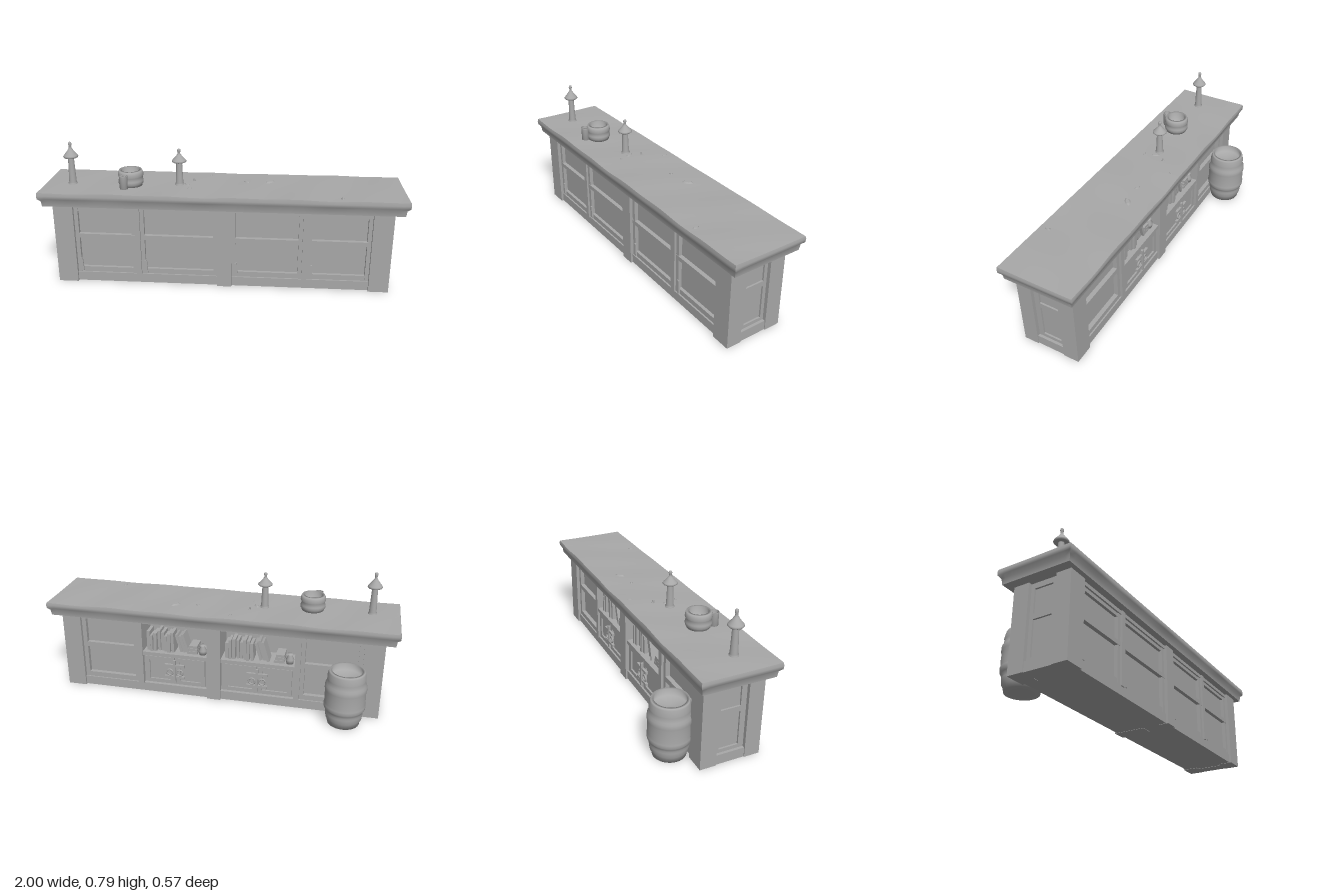
import * as THREE from 'three';

export function createModel() {
  const root = new THREE.Group();
  root.name = 'barCounter';
  const grey = new THREE.MeshStandardMaterial({ color: 0xa8a8a8, side: THREE.DoubleSide });
  grey.name = 'weatheredGrey';

  const add = (name, geo, x = 0, y = 0, z = 0, parent = root) => {
    const m = new THREE.Mesh(geo, grey);
    m.name = name;
    m.position.set(x, y, z);
    parent.add(m);
    return m;
  };
  // Box given by its limits on each axis
  const block = (name, x0, x1, y0, y1, z0, z1, parent = root) =>
    add(name, new THREE.BoxGeometry(x1 - x0, y1 - y0, z1 - z0),
      (x0 + x1) / 2, (y0 + y1) / 2, (z0 + z1) / 2, parent);
  const lathe = (name, pts, x, y, z, segs = 24, parent = root) =>
    add(name, new THREE.LatheGeometry(pts.map(p => new THREE.Vector2(p[0], p[1])), segs), x, y, z, parent);

  // Worn worktop: a subdivided box, moulded inwards towards its underside
  const slab = new THREE.BoxGeometry(2, 4, 0.436, 48, 4, 10);
  const levels = [0.465, 0.497, 0.512, 0.53, 0.546];
  const insets = [0.021, 0.017, 0.002, 0, 0.003];
  const p = slab.attributes.position;
  for (let i = 0; i < p.count; i++) {
    const k = Math.round(p.getY(i) + 2);
    const x = p.getX(i), z = p.getZ(i);
    const wear = Math.sin(x * 13) * Math.sin(x * 5 + z * 9);
    const edgeX = Math.abs(x) > 0.999, edgeZ = Math.abs(z) > 0.217;
    p.setXYZ(i,
      edgeX ? x - Math.sign(x) * insets[k] : x * (1 - insets[k]),
      levels[k] + (k === 4 ? 0.003 * wear + z * 0.008 : 0),
      0.063 + z - (edgeZ ? Math.sign(z) * (insets[k] + (k > 1 ? 0.002 * (1 + wear) : 0)) : 0));
  }
  slab.computeVertexNormals();
  add('worktop', slab);

  // Solid core, leaving the two middle bays open at the back
  block('plinth', -0.9, 0.9, 0.002, 0.055, -0.088, 0.222);
  block('core', -0.9, 0.9, 0.05, 0.466, 0.07, 0.195);
  block('leftCore', 0.475, 0.9, 0.05, 0.466, -0.055, 0.08);
  block('rightCore', -0.9, -0.475, 0.05, 0.466, -0.055, 0.08);
  block('frontTopRail', -0.9, 0.9, 0.445, 0.467, 0.19, 0.222);
  block('backTopRail', -0.9, 0.9, 0.44, 0.467, -0.088, 0.08);

  // Corner posts and framed end panels
  for (const s of [-1, 1]) {
    const span = (a, b) => (s > 0 ? [a, b] : [-b, -a]);
    const side = s > 0 ? 'left' : 'right';
    block(side + 'FrontPost', ...span(0.82, 0.93), 0, 0.467, 0.15, 0.235);
    block(side + 'BackPost', ...span(0.82, 0.93), 0, 0.467, -0.1, -0.01);
    block(side + 'EndSill', ...span(0.85, 0.925), 0, 0.055, -0.02, 0.16);
    for (const [y0, y1] of [[0.055, 0.075], [0.27, 0.3], [0.435, 0.467]])
      block(side + 'EndRail', ...span(0.88, 0.91), y0, y1, -0.01, 0.15);
    for (const [z0, z1] of [[-0.01, 0.01], [0.12, 0.15]])
      block(side + 'EndStile', ...span(0.88, 0.91), 0.055, 0.467, z0, z1);
  }
  block('frontCentrePost', -0.022, 0.058, 0, 0.467, 0.18, 0.235);
  block('backCentrePost', -0.022, 0.058, 0, 0.467, -0.1, 0.08);
  for (const x of [-0.465, 0.462]) {
    block('frontDivider', x - 0.014, x + 0.014, 0.05, 0.467, 0.18, 0.228);
    block('backDivider', x - 0.016, x + 0.016, 0.05, 0.467, -0.094, 0.08);
  }

  // Front bays: trim round two recessed panels, with a shelf rail between
  const bays = [[-0.82, -0.479], [-0.451, -0.022], [0.058, 0.448], [0.476, 0.82]];
  for (const [a, b] of bays) {
    block('bayShelfRail', a, b, 0.265, 0.29, 0.185, 0.218);
    block('baySill', a + 0.01, b - 0.01, 0.055, 0.085, 0.185, 0.213);
    block('bayHead', a, b, 0.425, 0.45, 0.185, 0.212);
    block('bayTrimRight', a, a + 0.022, 0.055, 0.45, 0.185, 0.216);
    block('bayTrimLeft', b - 0.022, b, 0.055, 0.45, 0.185, 0.216);
    const splinter = block('looseTrim', a + 0.02, a + 0.032, 0.06, 0.14, 0.212, 0.222);
    splinter.rotation.z = 0.06;
  }

  // Outer back bays: recessed panels
  for (const [a, b] of [bays[0], bays[3]]) {
    block('backBayRail', a, b, 0.255, 0.285, -0.08, -0.05);
    block('backBaySill', a, b, 0.055, 0.085, -0.08, -0.05);
    block('backBayTrim', a, a + 0.025, 0.055, 0.45, -0.08, -0.05);
    block('backBayTrim', b - 0.025, b, 0.055, 0.45, -0.08, -0.05);
  }

  // Inner back bays: book shelf above a pair of cupboard doors
  bays.slice(1, 3).forEach(([a, b], n) => {
    block('bookShelf', a, b, 0.24, 0.262, -0.09, 0.08);
    block('cupboardFace', a, b, 0.055, 0.245, -0.066, -0.05);
    const mid = (a + b) / 2;
    for (const [x0, x1] of [[a + 0.015, mid - 0.004], [mid + 0.004, b - 0.015]]) {
      const door = new THREE.Group();
      door.name = 'cupboardDoor';
      root.add(door);
      block('doorPanel', x0, x1, 0.065, 0.235, -0.074, -0.06, door);
      for (const [y0, y1] of [[0.065, 0.088], [0.212, 0.235]])
        block('doorRail', x0, x1, y0, y1, -0.084, -0.07, door);
      for (const [u0, u1] of [[x0, x0 + 0.025], [x1 - 0.025, x1]])
        block('doorStile', u0, u1, 0.065, 0.235, -0.084, -0.07, door);
      const inner = x0 < mid - 0.01 ? mid - 0.03 : mid + 0.03;
      add('doorHandle', new THREE.TorusGeometry(0.018, 0.005, 8, 16), inner, 0.145, -0.09, door);
    }
    for (const y of [0.115, 0.19])
      block('latchBar', mid - 0.06, mid + 0.06, y - 0.007, y + 0.007, -0.097, -0.082);
    block('latchBolt', mid - 0.007, mid + 0.007, 0.08, 0.225, -0.1, -0.086);

    // Upright and leaning books
    for (let i = 0; i < 11; i++) {
      const h = 0.095 + 0.03 * Math.abs(Math.sin(i * 2.3 + n));
      const w = 0.013 + 0.006 * Math.abs(Math.cos(i * 1.7));
      const lean = i > 7 ? 0.3 : 0.04 * Math.sin(i * 3);
      const book = add('book', new THREE.BoxGeometry(w, h, 0.08),
        b - 0.03 - i * 0.021 - (i > 7 ? 0.015 : 0), 0.262 + h / 2, -0.02 + 0.012 * Math.sin(i * 5));
      book.rotation.z = -lean;
    }
    // Flat books and a small jar
    for (let i = 0; i < 3; i++)
      block('flatBook', a + 0.065, a + 0.125 - i * 0.006, 0.262 + i * 0.018, 0.278 + i * 0.018, -0.06, 0.03);
    lathe('jar', [[0, 0], [0.02, 0], [0.024, 0.025], [0.012, 0.05], [0.016, 0.06], [0, 0.06]],
      a + 0.035, 0.262, -0.045, 14);
  });

  // Open barrel with raised hoops
  lathe('barrel', [[0, 0], [0.088, 0], [0.093, 0.03], [0.099, 0.035], [0.103, 0.065], [0.101, 0.075],
    [0.107, 0.09], [0.113, 0.1], [0.114, 0.12], [0.11, 0.13], [0.112, 0.165], [0.11, 0.2], [0.114, 0.21],
    [0.113, 0.235], [0.106, 0.245], [0.103, 0.27], [0.105, 0.28], [0.099, 0.31], [0.095, 0.32],
    [0.082, 0.32], [0.084, 0.28], [0, 0.278]], -0.74, 0, -0.171, 32);

  // Capped tap columns
  const tap = (x, z, scale) => {
    const g = new THREE.Group();
    g.name = 'tapColumn';
    g.position.set(x, 0.543, z);
    g.scale.y = scale;
    root.add(g);
    lathe('tapStem', [[0.026, 0], [0.025, 0.01], [0.021, 0.016], [0.016, 0.16]], 0, 0, 0, 18, g);
    lathe('tapCap', [[0, 0.158], [0.036, 0.157], [0.041, 0.163], [0.038, 0.17], [0.02, 0.192], [0.012, 0.205],
      [0.007, 0.212], [0.007, 0.222], [0.01, 0.232], [0.008, 0.242], [0, 0.247]], 0, 0, 0, 20, g);
  };
  tap(-0.845, 0.102, 1);
  tap(-0.245, 0.068, 0.858);

  // Hooped tub with a small cup beside it
  lathe('tub', [[0, 0], [0.062, 0], [0.064, 0.012], [0.069, 0.016], [0.07, 0.032], [0.066, 0.037], [0.067, 0.055],
    [0.071, 0.06], [0.069, 0.077], [0.064, 0.09], [0.05, 0.09], [0.048, 0.03], [0, 0.028]],
  -0.515, 0.545, 0.095, 24);
  lathe('cup', [[0, 0], [0.022, 0], [0.023, 0.076], [0.025, 0.08], [0.019, 0.08], [0.018, 0.03], [0, 0.03]],
    -0.54, 0.545, 0.172, 16);

  // Chips and scraps lying on the worktop
  const scraps = [[-0.17, 0.0, 0.012], [-0.08, -0.095, 0.018], [0.13, 0.005, 0.02], [0.26, -0.01, 0.035],
    [-0.2, 0.07, 0.03], [-0.18, 0.135, 0.015], [0.65, 0.23, 0.02]];
  scraps.forEach(([x, z, r], i) => {
    const chip = add('scrap', new THREE.CylinderGeometry(r * 0.6, r, 0.008, 7), x, 0.548, z);
    chip.scale.z = 0.5;
    chip.rotation.y = i * 1.3;
  });
  add('peg', new THREE.CylinderGeometry(0.005, 0.006, 0.02, 10), -0.17, 0.553, 0.007);

  return root;
}
